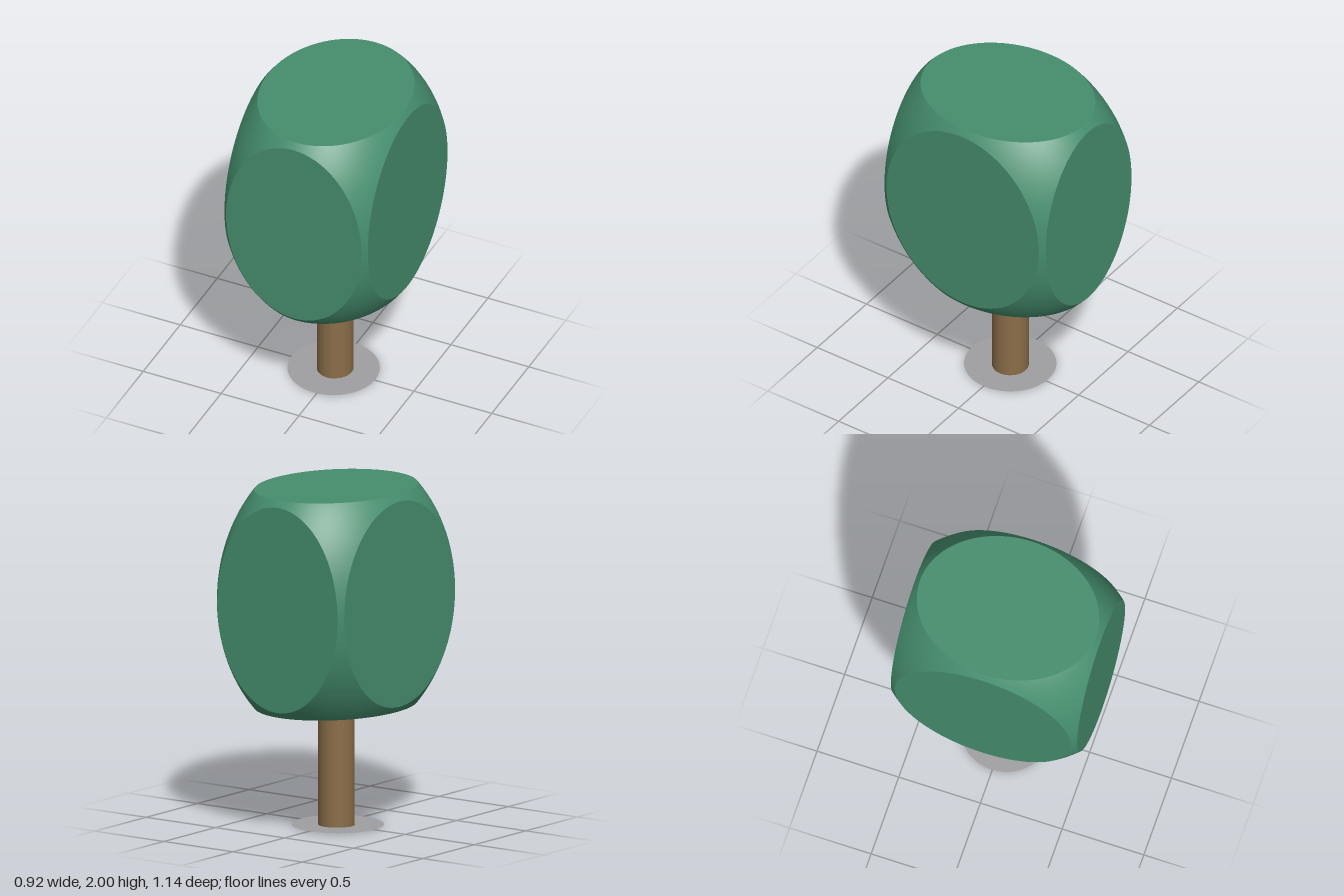
import * as THREE from 'three';

// Half sizes and centre height of the tree crown
const HALF = new THREE.Vector3(0.46, 0.6425, 0.57);
const CROWN_Y = 1.3575;
// Radius of the ball that rounds off the corners of a unit half-size cube
const BALL = 1.376;
const SEGMENTS = 96;
const RINGS = 4;

function mesh(name, geometry, color, side = THREE.FrontSide) {
  const m = new THREE.Mesh(geometry, new THREE.MeshStandardMaterial({ color, side }));
  m.name = name;
  return m;
}

// One crown side: a flat oval, then curved rings reaching the neighbouring sides
function crownSide(axis, sign) {
  const positions = [], normals = [], index = [];
  const u = (axis + (sign > 0 ? 1 : 2)) % 3;
  const v = (axis + (sign > 0 ? 2 : 1)) % 3;
  const rim = Math.acos(1 / BALL);

  const addVertex = (polar, t, flat) => {
    const p = new THREE.Vector3();
    p.setComponent(axis, sign * BALL * Math.cos(polar));
    p.setComponent(u, BALL * Math.sin(polar) * Math.cos(t));
    p.setComponent(v, BALL * Math.sin(polar) * Math.sin(t));
    if (flat && polar === 0) p.setComponent(axis, sign);
    const n = flat ? new THREE.Vector3().setComponent(axis, sign) : p.clone().divide(HALF).normalize();
    p.multiply(HALF);
    positions.push(p.x, p.y, p.z);
    normals.push(n.x, n.y, n.z);
  };

  // Flat oval
  addVertex(0, 0, true);
  for (let i = 0; i <= SEGMENTS; i++) {
    addVertex(rim, (i / SEGMENTS) * Math.PI * 2, true);
    if (i < SEGMENTS) index.push(0, i + 1, i + 2);
  }

  // Curved surround, ending on the cube edges projected onto the ball
  const start = SEGMENTS + 2;
  for (let i = 0; i <= SEGMENTS; i++) {
    const t = (i / SEGMENTS) * Math.PI * 2;
    const outer = Math.atan(1 / Math.max(Math.abs(Math.cos(t)), Math.abs(Math.sin(t))));
    for (let j = 0; j <= RINGS; j++) {
      addVertex(rim + (outer - rim) * (j / RINGS), t, false);
      if (i < SEGMENTS && j < RINGS) {
        const a = start + i * (RINGS + 1) + j;
        const d = a + RINGS + 1;
        index.push(a, a + 1, d + 1, a, d + 1, d);
      }
    }
  }

  const g = new THREE.BufferGeometry();
  g.setAttribute('position', new THREE.Float32BufferAttribute(positions, 3));
  g.setAttribute('normal', new THREE.Float32BufferAttribute(normals, 3));
  g.setIndex(index);
  return g;
}

export function createModel() {
  const model = new THREE.Group();
  model.name = 'tree';

  // Crown: six matching sides
  const crown = new THREE.Group();
  crown.name = 'crown';
  crown.position.y = CROWN_Y;
  const names = [['leftSide', 'rightSide'], ['top', 'underside'], ['frontSide', 'backSide']];
  for (let axis = 0; axis < 3; axis++) {
    for (const sign of [1, -1]) {
      crown.add(mesh(names[axis][sign > 0 ? 0 : 1], crownSide(axis, sign), 0x458d6d));
    }
  }
  model.add(crown);

  // Trunk
  const trunk = mesh('trunk', new THREE.CylinderGeometry(0.107, 0.107, 0.72, 24), 0x8a6d48);
  trunk.position.set(-0.01, 0.36, -0.01);
  model.add(trunk);

  // Thin ground plate around the trunk
  const plate = mesh('groundPlate', new THREE.RingGeometry(0.105, 0.268, 48), 0xa0a0a2, THREE.DoubleSide);
  plate.rotation.x = -Math.PI / 2;
  plate.position.set(-0.017, 0.003, -0.004);
  model.add(plate);

  return model;
}
